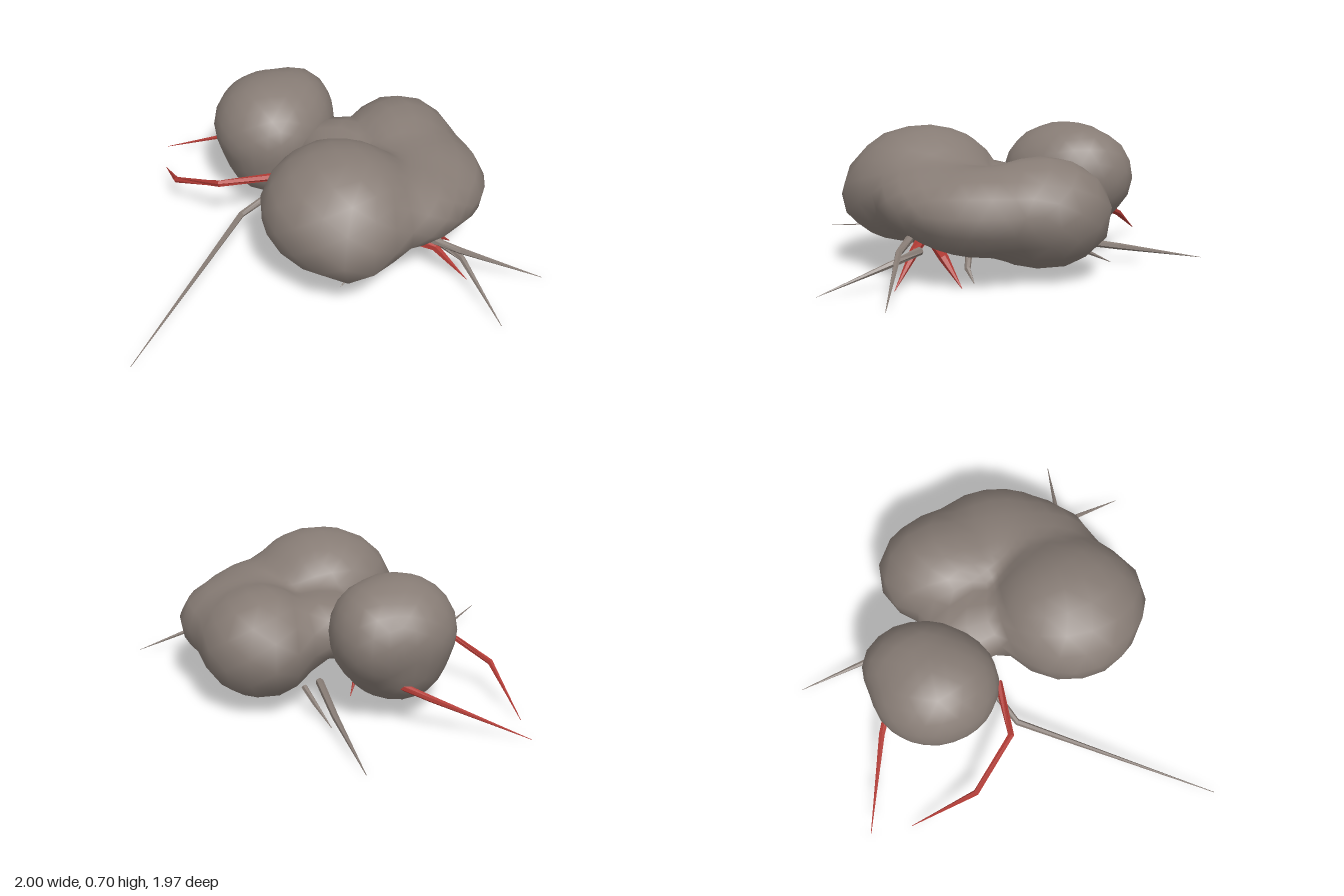
import * as THREE from 'three';
import { mergeVertices } from 'three/addons/utils/BufferGeometryUtils.js';

const stone = new THREE.MeshStandardMaterial({ color: 0x877c75 });
stone.name = 'warm grey';
const red = new THREE.MeshStandardMaterial({ color: 0xb03a34 });
red.name = 'dull red';

// Soft union of ellipsoids [x, y, z, rx, ry, rz]:
// each sphere vertex is pushed out to where the blended field ends.
function blob(name, centre, lobes, detail) {
  const c = new THREE.Vector3(...centre);
  const sphere = new THREE.IcosahedronGeometry(1, detail);
  sphere.deleteAttribute('uv');
  sphere.deleteAttribute('normal');
  const geo = mergeVertices(sphere);
  const pos = geo.attributes.position;
  const p = new THREE.Vector3();
  const inside = (q) => lobes.reduce((sum, [x, y, z, rx, ry, rz]) =>
    sum + Math.exp(13 * (1 - Math.hypot((q.x - x) / rx, (q.y - y) / ry, (q.z - z) / rz))), 0) > 1;
  for (let i = 0; i < pos.count; i++) {
    const dir = new THREE.Vector3().fromBufferAttribute(pos, i).normalize();
    let t = 1.3;
    while (t > 0.02 && !inside(p.copy(c).addScaledVector(dir, t))) t -= 0.004;
    pos.setXYZ(i, p.x, p.y, p.z);
  }
  geo.computeVertexNormals();
  const mesh = new THREE.Mesh(geo, stone);
  mesh.name = name;
  return mesh;
}

// Jointed leg: a six-sided tube along the points, tapering to a needle tip.
function leg(name, material, radius, points) {
  const pts = points.map((a) => new THREE.Vector3(...a));
  const n = pts.length - 1;
  const geo = new THREE.CylinderGeometry(1, 1, 1, 6, n);
  const pos = geo.attributes.position;
  const up = new THREE.Vector3(0, 1, 0);
  const quat = new THREE.Quaternion();
  for (let i = 0; i < pos.count; i++) {
    const j = Math.round((pos.getY(i) + 0.5) * n);
    const dir = pts[Math.min(j + 1, n)].clone().sub(pts[Math.max(j - 1, 0)]).normalize();
    quat.setFromUnitVectors(up, dir);
    const r = j === n ? 0.0015 : radius * (1 - 0.35 * j / n);
    const v = new THREE.Vector3(pos.getX(i) * r, 0, pos.getZ(i) * r).applyQuaternion(quat).add(pts[j]);
    pos.setXYZ(i, v.x, Math.max(v.y, 0), v.z);
  }
  const flat = geo.toNonIndexed();
  flat.computeVertexNormals();
  const mesh = new THREE.Mesh(flat, material);
  mesh.name = name;
  return mesh;
}

export function createModel() {
  const model = new THREE.Group();
  model.name = 'lumpyCreature';

  // Kidney-shaped body: front lobe, snout bulge, back lobe, left flank, filler, neck
  model.add(blob('body', [0.24, 0.35, 0.18], [
    [0.01, 0.405, 0.43, 0.375, 0.295, 0.38],
    [0.04, 0.35, 0.52, 0.26, 0.22, 0.33],
    [0.4, 0.315, -0.13, 0.3, 0.27, 0.34],
    [0.44, 0.33, 0.16, 0.345, 0.21, 0.38],
    [0.3, 0.37, 0.38, 0.33, 0.18, 0.3],
    [0.06, 0.36, -0.08, 0.22, 0.16, 0.24],
  ], 5));

  // Rounded rear lobe, bulging inwards and narrower below
  model.add(blob('rearLobe', [-0.22, 0.36, -0.32], [
    [-0.25, 0.42, -0.31, 0.295, 0.265, 0.32],
    [-0.11, 0.42, -0.38, 0.2, 0.24, 0.27],
    [-0.24, 0.26, -0.3, 0.25, 0.195, 0.28],
  ], 4));

  // Red legs
  const redLegs = [
    [0.02, [[-0.26, 0.3, 0.01], [-0.54, 0.28, 0.01], [-0.76, 0.16, -0.22], [-0.82, 0, -0.57]]],
    [0.02, [[-0.22, 0.22, -0.55], [-0.36, 0.17, -0.62], [-0.81, 0, -0.78]]],
    [0.028, [[0.3, 0.2, 0.43], [0.48, 0.15, 0.48], [0.63, 0, 0.57]]],
    [0.028, [[0.33, 0.19, 0.4], [0.5, 0.12, 0.34], [0.61, 0, 0.26]]],
    [0.018, [[-0.14, 0.2, -0.08], [-0.09, 0.11, -0.12], [-0.05, 0, -0.17]]],
  ];
  redLegs.forEach(([r, pts], i) => model.add(leg(`redLeg${i + 1}`, red, r, pts)));

  // Grey legs
  const greyLegs = [
    [0.02, [[-0.22, 0.2, -0.04], [-0.44, 0.12, 0.07], [-1, 0, 0.98]]],
    [0.02, [[0.12, 0.13, -0.25], [0.09, 0.08, -0.55], [0.02, 0, -0.99]]],
    [0.015, [[0.2, 0.12, -0.28], [0.16, 0.07, -0.38], [0.1, 0, -0.51]]],
    [0.02, [[0.46, 0.21, 0.5], [0.59, 0.17, 0.55], [1, 0, 0.6]]],
    [0.02, [[0.5, 0.16, 0.45], [0.6, 0.13, 0.56], [0.72, 0, 0.92]]],
    [0.018, [[0.38, 0.12, 0.22], [0.46, 0.06, 0.23], [0.52, 0, 0.2]]],
    [0.015, [[0.15, 0.14, 0.45], [0.08, 0.06, 0.5], [0.01, 0, 0.55]]],
  ];
  greyLegs.forEach(([r, pts], i) => model.add(leg(`greyLeg${i + 1}`, stone, r, pts)));

  return model;
}
